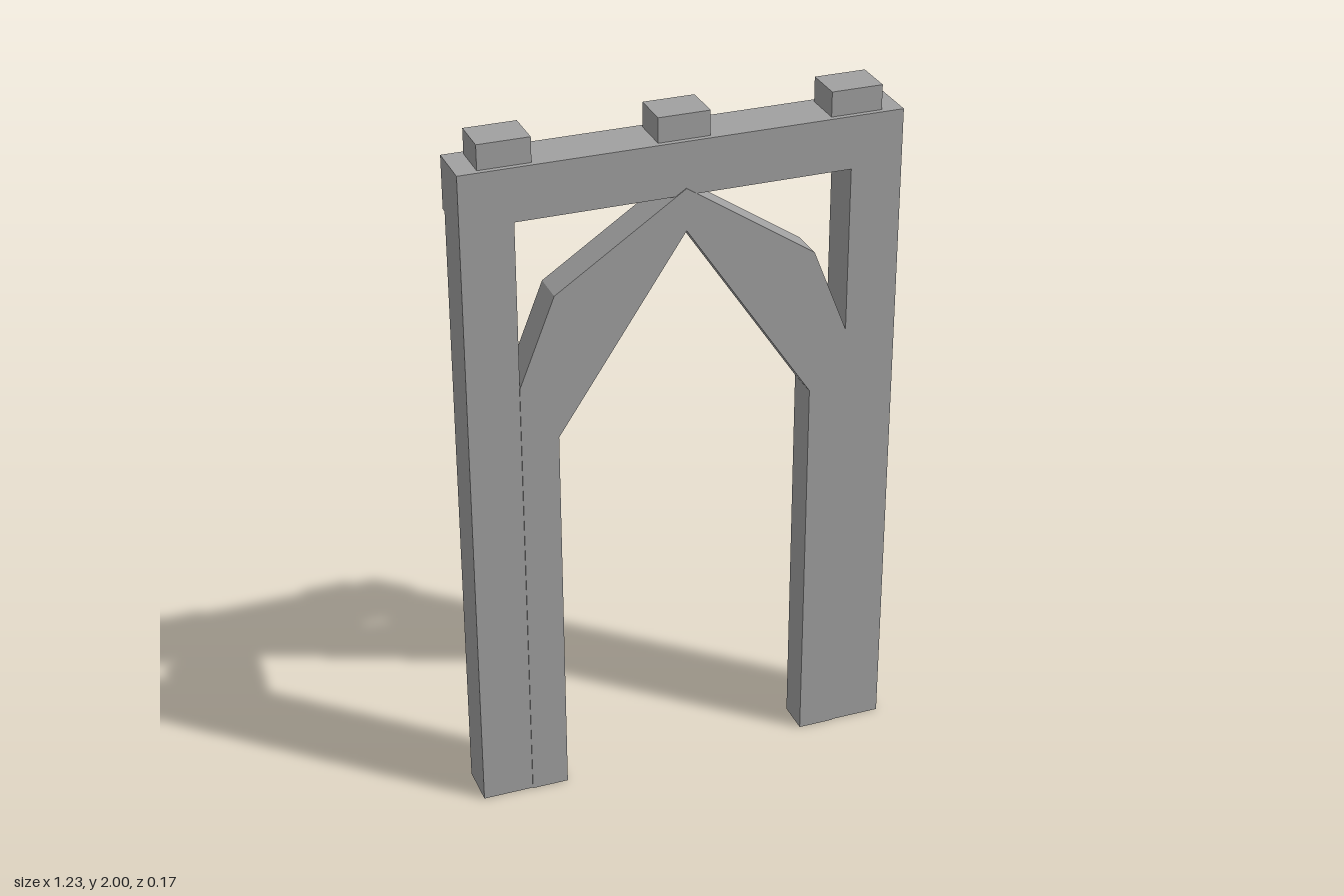
import * as THREE from 'three';

export function createModel() {
  const group = new THREE.Group();
  const stone = new THREE.MeshStandardMaterial({ color: 0xa0a0a0 });
  stone.name = 'grey stone';

  const add = (name, geometry) => {
    const mesh = new THREE.Mesh(geometry, stone);
    mesh.name = name;
    group.add(mesh);
  };

  // Box given by its limits on each axis
  const box = (name, x0, x1, y0, y1, z0, z1) => {
    const g = new THREE.BoxGeometry(x1 - x0, y1 - y0, z1 - z0);
    g.translate((x0 + x1) / 2, (y0 + y1) / 2, (z0 + z1) / 2);
    add(name, g);
  };

  // Symmetric band: outer and inner edges run from the foot up to the apex at x = 0
  const band = (name, outer, inner, z0, z1) => {
    const mirror = (pts) => pts.slice(0, -1).reverse().map(([x, y]) => [-x, y]);
    const outline = [...outer, ...mirror(outer), ...mirror(inner).reverse(), ...[...inner].reverse()];
    const shape = new THREE.Shape(outline.map(([x, y]) => new THREE.Vector2(x, y)));
    const g = new THREE.ExtrudeGeometry(shape, { depth: z1 - z0, bevelEnabled: false });
    g.translate(0, 0, z0);
    add(name, g);
  };

  // Top beam, its rear plate and the blocks standing on it
  box('beam', -0.613, 0.613, 1.78, 1.93, -0.062, 0.081);
  box('beamRearPlate', -0.585, 0.585, 1.79, 1.905, -0.084, -0.062);
  for (const x of [-0.484, 0, 0.484]) {
    box('topBlock', x - 0.072, x + 0.072, 1.93, 2, -0.048, 0.066);
  }

  // Pillars with two raised strips on the back
  for (const side of [-1, 1]) {
    const sided = (name, a, b, ...rest) =>
      box(name, Math.min(side * a, side * b), Math.max(side * a, side * b), ...rest);
    sided('pillar', 0.467, 0.613, 0, 1.78, -0.045, 0.081);
    sided('wideStrip', 0.505, 0.557, 0.12, 1.78, -0.054, -0.045);
    sided('narrowStrip', 0.572, 0.592, 0.12, 1.78, -0.054, -0.045);
  }

  // Pointed arch with angular shoulders
  band('arch',
    [[0.468, 0], [0.468, 1.3], [0.367, 1.555], [0, 1.8]],
    [[0.363, 0], [0.363, 1.135], [0, 1.68]],
    -0.016, 0.084);

  // Raised moulding on the back of the arch
  band('archMoulding',
    [[0.418, 0], [0.418, 1.22], [0.318, 1.48], [0, 1.755]],
    [[0.373, 0], [0.373, 1.15], [0.265, 1.42], [0, 1.705]],
    -0.036, -0.016);

  return group;
}
